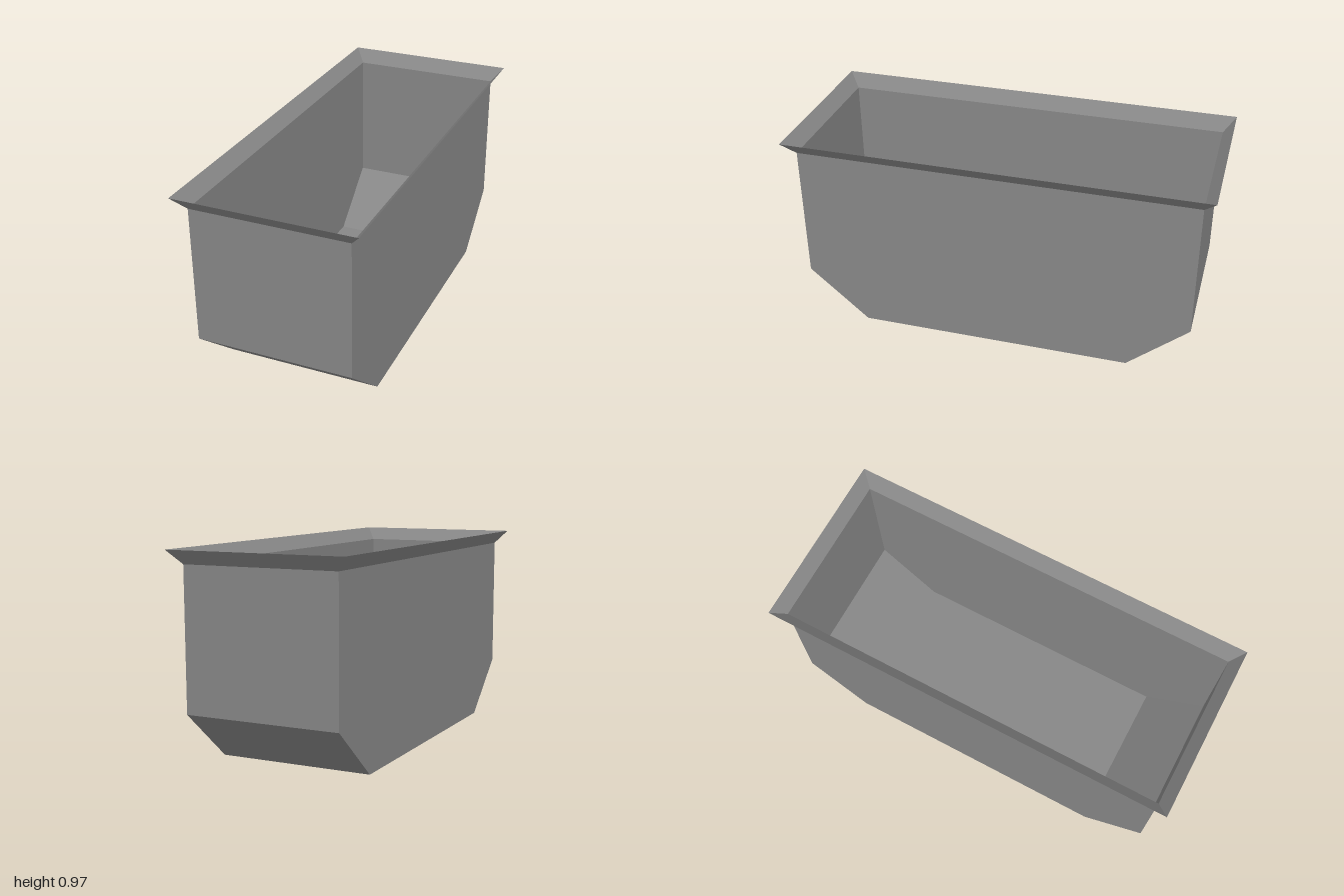
import * as THREE from 'three';

const material = new THREE.MeshStandardMaterial({
  color: 0x878787, flatShading: true, side: THREE.DoubleSide,
});

// Rectangular cross-sections from bottom to top: half width, height, half length
const base = [0.371, 0, 0.657];
const knee = [0.371, 0.249, 0.945];
const neck = [0.371, 0.904, 0.945];
const lip = [0.425, 0.968, 1];

// Corners run around the section so that walls face outward
const corners = ([x, y, z]) => [[x, y, z], [x, y, -z], [-x, y, -z], [-x, y, z]];

function quadMesh(name, quads) {
  const points = quads.flatMap(([a, b, c, d]) => [a, b, c, a, c, d]).flat();
  const geometry = new THREE.BufferGeometry();
  geometry.setAttribute('position', new THREE.Float32BufferAttribute(points, 3));
  geometry.computeVertexNormals();
  const mesh = new THREE.Mesh(geometry, material);
  mesh.name = name;
  return mesh;
}

// Four walls joining two sections
function band(lower, upper) {
  const a = corners(lower), b = corners(upper);
  return a.map((p, i) => {
    const j = (i + 1) % 4;
    return [p, a[j], b[j], b[i]];
  });
}

export function createModel() {
  const group = new THREE.Group();
  group.name = 'openTrough';
  group.add(
    quadMesh('floor', [corners(base).reverse()]),
    quadMesh('slopedLowerWalls', band(base, knee)),
    quadMesh('uprightWalls', band(knee, neck)),
    quadMesh('flaredRim', band(neck, lip)),
  );
  return group;
}
